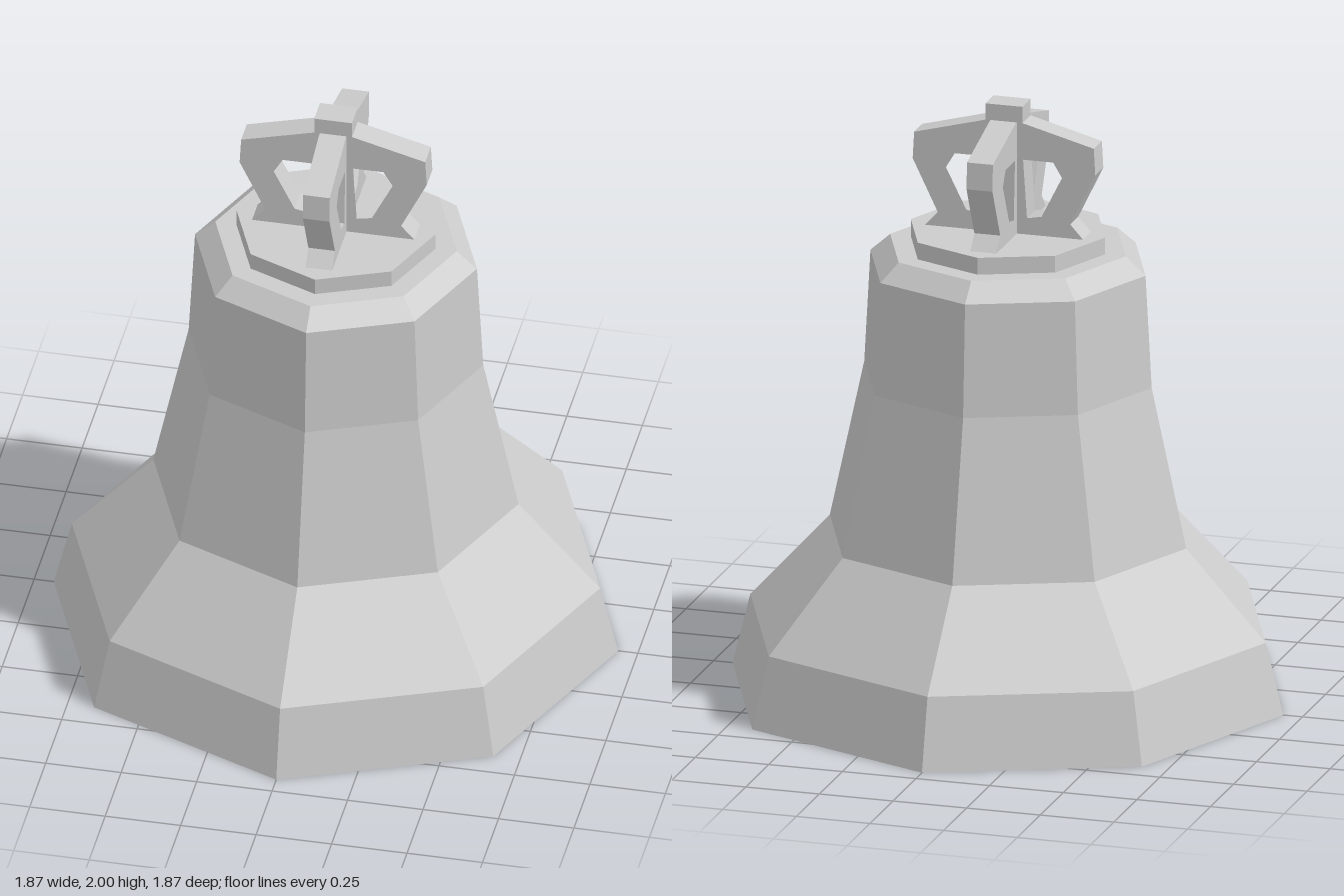
import * as THREE from 'three';

const material = new THREE.MeshStandardMaterial({ color: 0xcccccc, flatShading: true });

const toVectors = (pairs) => pairs.map(([x, y]) => new THREE.Vector2(x, y));

function addMesh(parent, name, geometry) {
  const mesh = new THREE.Mesh(geometry, material);
  mesh.name = name;
  parent.add(mesh);
  return mesh;
}

const lathe = (profile, sides) => new THREE.LatheGeometry(toVectors(profile), sides);

// One plate of the crown: two bent arms joined at a central post
function crownPlateGeometry(thickness) {
  const half = [[0.06, 1.945], [0.305, 1.88], [0.31, 1.79], [0.225, 1.615], [0.275, 1.56]];
  const mirrored = half.map(([x, y]) => [-x, y]).reverse();
  const shape = new THREE.Shape(toVectors([...half, ...mirrored]));
  const opening = [[0.065, 1.82], [0.167, 1.82], [0.197, 1.77], [0.128, 1.632], [0.078, 1.622]];
  for (const side of [1, -1]) {
    shape.holes.push(new THREE.Path(toVectors(opening.map(([x, y]) => [x * side, y]))));
  }
  const geometry = new THREE.ExtrudeGeometry(shape, { depth: thickness, bevelEnabled: false });
  return geometry.translate(0, 0, -thickness / 2);
}

export function createModel() {
  const bell = new THREE.Group();
  bell.name = 'bell';

  // Hollow octagonal body: inner wall downwards, around the rim, outer wall upwards
  addMesh(bell, 'body', lathe([
    [0, 1.42], [0.38, 1.42], [0.41, 1.07], [0.50, 0.48], [0.85, 0],
    [0.935, 0], [0.875, 0.24], [0.605, 0.535], [0.488, 1.07],
    [0.467, 1.45], [0.40, 1.51], [0, 1.51],
  ], 8));

  // Plinth under the crown
  addMesh(bell, 'plinth', lathe([[0, 1.505], [0.33, 1.505], [0.33, 1.567], [0, 1.567]], 8));

  // Crown of two crossed plates with a top block
  const crown = new THREE.Group();
  crown.name = 'crown';
  bell.add(crown);
  const thickness = 0.088;
  const plate = crownPlateGeometry(thickness);
  addMesh(crown, 'crownArmsSide', plate);
  addMesh(crown, 'crownArmsFront', plate).rotation.y = Math.PI / 2;
  addMesh(crown, 'crownTop', new THREE.BoxGeometry(0.125, 0.16, thickness + 0.002)).position.y = 1.92;

  // Clapper: rod and faceted weight
  const clapper = new THREE.Group();
  clapper.name = 'clapper';
  bell.add(clapper);
  addMesh(clapper, 'clapperRod', new THREE.CylinderGeometry(0.04, 0.04, 1.02, 6)).position.y = 0.93;
  addMesh(clapper, 'clapperWeight', lathe([[0, 0.17], [0.155, 0.25], [0.13, 0.43], [0.04, 0.48], [0, 0.48]], 6));

  return bell;
}
